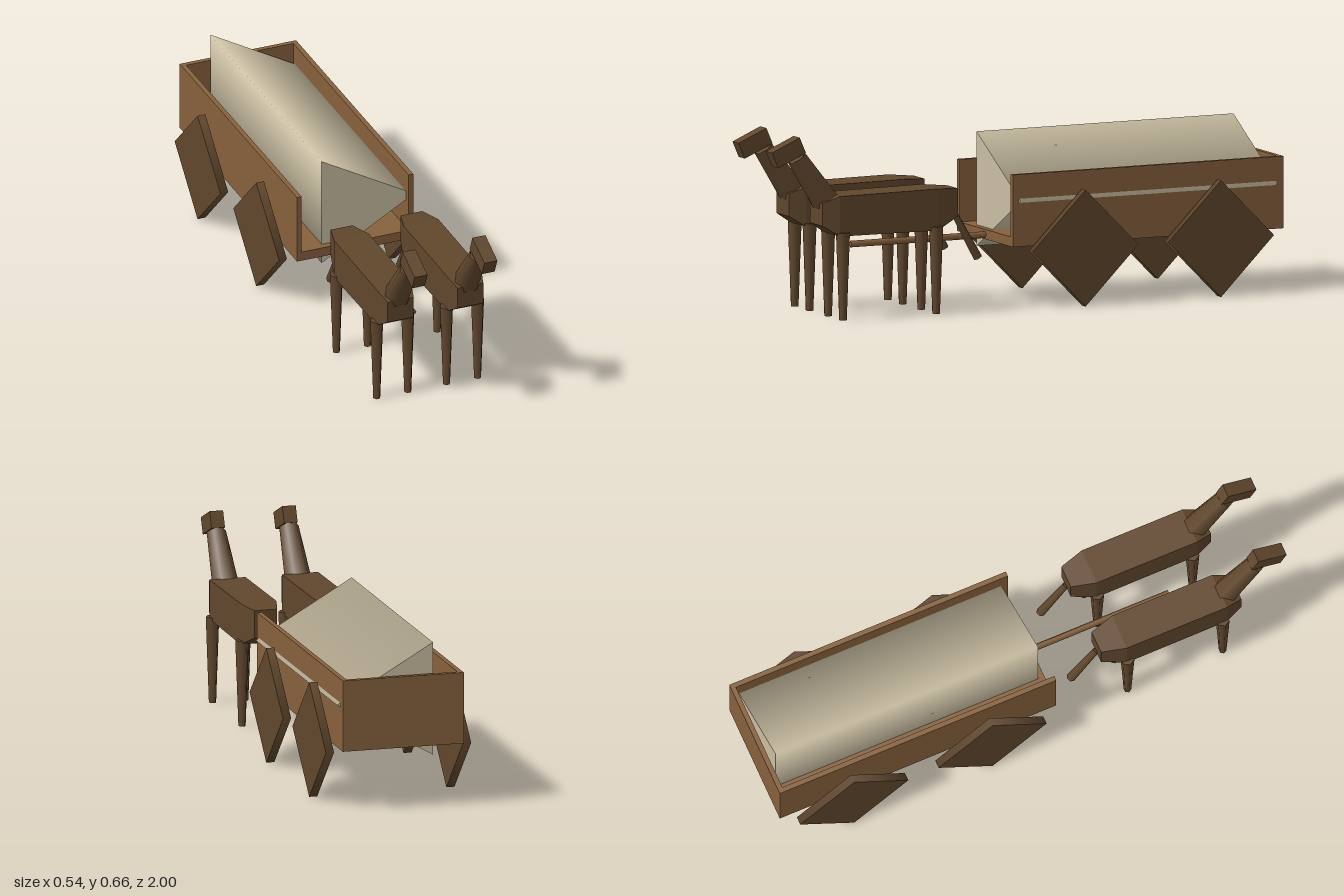
import * as THREE from 'three';

const wood = new THREE.MeshStandardMaterial({ color: 0x87613d });
wood.name = 'wagon wood';
const darkBrown = new THREE.MeshStandardMaterial({ color: 0x61472d });
darkBrown.name = 'dark brown';
const canvas = new THREE.MeshStandardMaterial({ color: 0xcabea2 });
canvas.name = 'canvas';

function add(parent, name, geometry, material, x = 0, y = 0, z = 0) {
  const mesh = new THREE.Mesh(geometry, material);
  mesh.name = name;
  mesh.position.set(x, y, z);
  parent.add(mesh);
  return mesh;
}

function box(parent, name, material, w, h, d, x, y, z) {
  return add(parent, name, new THREE.BoxGeometry(w, h, d), material, x, y, z);
}

// Tapered rod between two points, r0 at the start and r1 at the end
function rod(parent, name, material, from, to, r0, r1, sides, turn = 0) {
  const a = new THREE.Vector3(...from), b = new THREE.Vector3(...to);
  const dir = b.clone().sub(a);
  const geo = new THREE.CylinderGeometry(r1, r0, dir.length(), sides, 1, false, turn);
  const mesh = add(parent, name, geo, material);
  mesh.position.copy(a).add(b).multiplyScalar(0.5);
  mesh.quaternion.setFromUnitVectors(new THREE.Vector3(0, 1, 0), dir.normalize());
  return mesh;
}

// Faceted loft through rectangular sections: [z, halfWidth, bottom, top], front to back
function loft(sections) {
  const rings = sections.map(([z, w, b, t]) => [[-w, b, z], [w, b, z], [w, t, z], [-w, t, z]]);
  const pos = [];
  const quad = (a, b, c, d) => pos.push(...a, ...b, ...c, ...a, ...c, ...d);
  quad(...rings[0]);
  for (let i = 0; i < rings.length - 1; i++) {
    for (let j = 0; j < 4; j++) {
      const k = (j + 1) % 4;
      quad(rings[i][k], rings[i][j], rings[i + 1][j], rings[i + 1][k]);
    }
  }
  quad(...rings[rings.length - 1].slice().reverse());
  const geo = new THREE.BufferGeometry();
  geo.setAttribute('position', new THREE.Float32BufferAttribute(pos, 3));
  geo.computeVertexNormals();
  return geo;
}

function makeWagon() {
  const wagon = new THREE.Group();
  wagon.name = 'wagon';

  // Open-fronted bed
  box(wagon, 'floor', wood, 0.45, 0.035, 1.075, 0, 0.2425, -0.4625);
  box(wagon, 'backWall', wood, 0.45, 0.225, 0.018, 0, 0.3725, -0.991);
  for (const s of [-1, 1]) {
    box(wagon, s > 0 ? 'leftWall' : 'rightWall', wood, 0.018, 0.225, 1.057, s * 0.216, 0.3725, -0.4535);
  }

  // Three-sided canvas cover
  const cover = new THREE.CylinderGeometry(0.238, 0.238, 1.02, 3, 1, false, Math.PI / 2);
  cover.rotateX(Math.PI / 2);
  add(wagon, 'cover', cover, canvas, 0, 0.39, -0.46);

  // Four-sided wheels standing on a corner
  for (const s of [-1, 1]) {
    for (const z of [-0.192, -0.73]) {
      const wheel = new THREE.CylinderGeometry(0.21, 0.21, 0.03, 4);
      wheel.rotateZ(Math.PI / 2);
      add(wagon, 'wheel', wheel, darkBrown, s * 0.255, 0.21, z);
    }
  }

  // Draw pole
  rod(wagon, 'drawPole', wood, [0, 0.241, 0.05], [0, 0.241, 0.61], 0.012, 0.012, 4);
  return wagon;
}

function makeHorse(x) {
  const horse = new THREE.Group();
  horse.name = 'horse';
  horse.position.x = x;

  add(horse, 'body', loft([
    [0.812, 0.05, 0.342, 0.423],
    [0.75, 0.067, 0.303, 0.447],
    [0.36, 0.067, 0.3, 0.45],
    [0.27, 0.042, 0.342, 0.443],
  ]), darkBrown);

  // Neck, head and tail
  rod(horse, 'neck', darkBrown, [0, 0.415, 0.77], [0, 0.587, 0.89], 0.05, 0.036, 6, Math.PI / 6);
  const head = box(horse, 'head', darkBrown, 0.05, 0.062, 0.12, 0, 0.61, 0.932);
  head.rotation.x = 0.41;
  rod(horse, 'tail', darkBrown, [0, 0.358, 0.27], [0, 0.182, 0.17], 0.012, 0.0165, 6);

  // Legs
  for (const sx of [-1, 1]) {
    for (const z of [0.735, 0.365]) {
      rod(horse, 'leg', darkBrown, [sx * 0.06, 0, z], [sx * 0.06, 0.315, z], 0.0135, 0.025, 6, Math.PI / 6);
    }
  }
  return horse;
}

export function createModel() {
  const model = new THREE.Group();
  model.name = 'horseDrawnWagon';
  model.add(makeWagon(), makeHorse(-0.135), makeHorse(0.135));
  return model;
}
